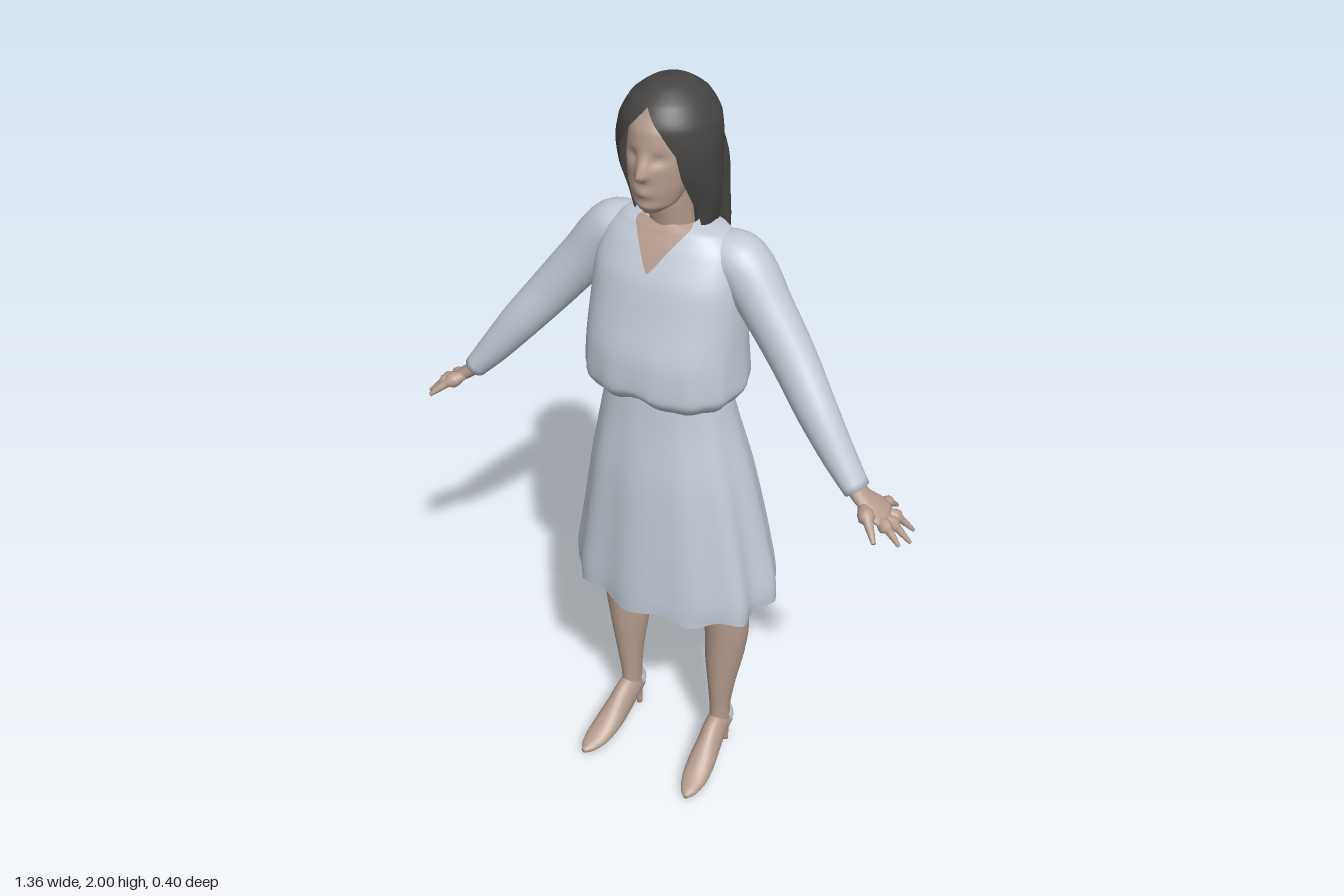
import * as THREE from 'three';
import { mergeVertices } from 'three/addons/utils/BufferGeometryUtils.js';

const paint = (name, color) => {
  const m = new THREE.MeshStandardMaterial({ color, side: THREE.DoubleSide });
  m.name = name;
  return m;
};
const bump = (d, w) => Math.exp(-(d * d) / (w * w));
const bent = (c, p) => Math.sign(c) * Math.abs(c) ** p;

// Smooth skin through cross-sections [x, y, z, radiusA, radiusB].
// flat keeps the sections level; ref is the direction of radiusB.
function loft(rows, o = {}) {
  const { segs = 24, steps = 24, flat = false, ref = [0, 0, 1], power = 1, from = 0, to = 1,
    arc = () => [0, Math.PI * 2], inflate = 0, caps = false, warp } = o;
  const path = new THREE.CatmullRomCurve3(rows.map(r => new THREE.Vector3(r[0], r[1], r[2])));
  const radii = new THREE.CatmullRomCurve3(rows.map(r => new THREE.Vector3(r[3], r[4], 0)));
  const levels = [];
  for (let i = 0; i <= steps; i++) levels.push([from + (to - from) * i / steps, 1]);
  if (caps) { levels.unshift([from, 0]); levels.push([to, 0]); }
  const pos = [], index = [];
  levels.forEach(([v, k], i) => {
    const c = path.getPoint(v), r = radii.getPoint(v);
    const t = flat ? new THREE.Vector3(0, 1, 0) : path.getTangent(v);
    const u = new THREE.Vector3(...ref).addScaledVector(t, -t.dot(new THREE.Vector3(...ref))).normalize();
    const w = new THREE.Vector3().crossVectors(t, u);
    const [a0, a1] = arc(v);
    for (let j = 0; j <= segs; j++) {
      const a = a0 + (a1 - a0) * j / segs;
      const p = c.clone()
        .addScaledVector(w, k * (r.x + inflate) * bent(Math.cos(a), power))
        .addScaledVector(u, k * (r.y + inflate) * bent(Math.sin(a), power));
      p.y += inflate;
      if (warp) warp(p, a, v);
      pos.push(p.x, p.y, p.z);
      if (i && j) {
        const d = i * (segs + 1) + j, b = d - segs - 1;
        index.push(b - 1, d - 1, b, b, d - 1, d);
      }
    }
  });
  let g = new THREE.BufferGeometry();
  g.setAttribute('position', new THREE.Float32BufferAttribute(pos, 3));
  g.setIndex(index);
  g = mergeVertices(g, 1e-5);
  g.computeVertexNormals();
  return g;
}

export function createModel() {
  const model = new THREE.Group();
  const skin = paint('skin', 0xb59c8e);
  const cloth = paint('pale dress cloth', 0xc2cad5);
  const hair = paint('dark hair', 0x474543);
  const add = (name, geometry, material) => {
    const m = new THREE.Mesh(geometry, material);
    m.name = name;
    model.add(m);
    return m;
  };

  // Skirt with folds that deepen towards the hem and the back
  add('skirt', loft([
    [.012, .61, 0, .275, .188], [.012, .65, 0, .277, .188], [.01, .8, 0, .252, .178],
    [.005, 1, .005, .213, .155], [0, 1.15, .01, .178, .125], [0, 1.235, .015, .16, .108],
  ], {
    flat: true, segs: 120, steps: 30, power: .92,
    warp: (p, a, v) => {
      const w = 1 - v, depth = w * (.4 + .6 * (1 - Math.sin(a)) / 2);
      const s = 1 + depth * (.055 * Math.cos(11 * a + .5) + .045 * Math.cos(7 * a + 2));
      p.x *= s;
      p.z *= s;
      p.y += .01 * w ** 6 * Math.cos(9 * a);
    },
  }), cloth);

  // Blouse, gathered over the waist
  const bodiceRows = [
    [0, 1.215, .015, .16, .108], [0, 1.235, .02, .182, .138], [0, 1.275, .022, .203, .16],
    [0, 1.36, .022, .198, .155], [0, 1.46, .015, .193, .133], [0, 1.55, .01, .185, .11],
    [0, 1.62, -.005, .165, .085], [0, 1.655, -.015, .13, .07], [0, 1.668, -.01, .062, .055],
  ];
  const gather = (p, a, v) => {
    const w = Math.max(0, 1 - v / .45);
    const s = 1 + .025 * w * Math.cos(13 * a + 1);
    p.x *= s;
    p.z *= s;
    if (p.z > 0) p.y += .025 * w * bump(p.x, .05);
  };
  const bodice = { flat: true, power: .86, warp: gather };
  add('bodice', loft(bodiceRows, { ...bodice, segs: 72, steps: 40 }), cloth);

  // Bare skin in the V-shaped neckline
  add('neckline', loft(bodiceRows, {
    ...bodice, segs: 12, steps: 16, from: .65, inflate: .003,
    arc: v => {
      const w = (v - .65) / .35, g = .65 * w + .6 * w ** 6;
      return [Math.PI / 2 - g, Math.PI / 2 + g];
    },
  }), skin);
  add('neck', loft([
    [0, 1.58, -.01, .055, .05], [0, 1.66, 0, .052, .05], [-.004, 1.76, .015, .052, .055],
  ], { flat: true }), skin);

  // Head with eye sockets, nose, lips and chin
  add('head', loft([
    [-.008, 1.715, .07, .022, .028], [-.008, 1.735, .058, .05, .05], [-.008, 1.78, .036, .07, .08],
    [-.008, 1.84, .02, .081, .095], [-.008, 1.9, .005, .08, .1], [-.008, 1.955, -.005, .058, .075],
  ], {
    flat: true, caps: true, segs: 64, steps: 44,
    warp: p => {
      if (p.z < .05) return;
      const x = p.x + .008, y = p.y;
      const nose = y > 1.81 ? Math.max(0, 1 - (y - 1.81) / .055) : bump(y - 1.81, .009);
      p.z += .026 * nose * bump(x, .013)
        - .01 * bump(Math.abs(x) - .032, .017) * bump(y - 1.848, .014)
        + .007 * bump(x, .022) * bump(y - 1.768, .011)
        + .006 * bump(x, .025) * bump(y - 1.733, .014);
    },
  }), skin);

  // Hair: a cap open around the face, and the long fall behind
  const gaps = [62, 48, 40, 36, 20, 0, 0, 0];
  add('hairCap', loft([
    [-.01, 1.65, -.04, .1, .08], [-.01, 1.72, -.03, .112, .09], [-.012, 1.8, -.015, .12, .112],
    [-.012, 1.86, -.01, .122, .119], [-.01, 1.915, -.01, .112, .12], [-.01, 1.96, -.01, .086, .097],
    [-.01, 1.99, -.01, .045, .052], [-.01, 2, -.01, .002, .002],
  ], {
    flat: true, segs: 56, steps: 42,
    arc: v => {
      const f = v * 7, i = Math.min(6, Math.floor(f));
      const g = THREE.MathUtils.degToRad(THREE.MathUtils.lerp(gaps[i], gaps[i + 1], f - i));
      return [Math.PI / 2 + g, Math.PI * 2.5 - g];
    },
    warp: (p, a, v) => { p.y += .012 * Math.max(0, 1 - v * 5) * Math.cos(9 * a); },
  }), hair);
  add('hairFall', loft([
    [0, 1.54, -.107, .078, .018], [0, 1.62, -.1, .095, .028], [-.008, 1.72, -.085, .107, .041],
    [-.01, 1.82, -.065, .11, .062], [-.01, 1.92, -.04, .085, .07],
  ], {
    flat: true, caps: true, segs: 40, power: .9,
    warp: (p, a, v) => { p.z += .004 * (1 - v) * Math.cos(p.x * 160); },
  }), hair);

  for (const s of [1, -1]) {
    const side = s > 0 ? 'left' : 'right';
    // The right arm reaches a little further forward
    const arm = rows => rows.map(([x, y, z, a, b]) =>
      [s * x, y, z + (s < 0 ? .08 * Math.max(0, x - .25) : 0), a, b]);

    add(side + 'Sleeve', loft(arm([
      [.1, 1.615, -.02, .04, .055], [.17, 1.583, -.022, .068, .07], [.25, 1.49, -.008, .062, .06],
      [.33, 1.39, .01, .057, .053], [.41, 1.29, .038, .05, .047], [.48, 1.2, .055, .04, .041],
      [.535, 1.133, .065, .03, .036],
    ]), { caps: true, segs: 28, steps: 30 }), cloth);

    // Hand with spread fingers
    add(side + 'Palm', loft(arm([
      [.52, 1.148, .063, .022, .026], [.55, 1.118, .065, .018, .03],
      [.585, 1.092, .06, .015, .044], [.612, 1.074, .052, .01, .042],
    ]), { caps: true, segs: 16, steps: 10 }), skin);
    [
      ['Thumb', [.56, 1.108, .085], [.622, 1.065, .15], .012],
      ['IndexFinger', [.6, 1.082, .08], [.663, 1.036, .095], .01],
      ['MiddleFinger', [.605, 1.078, .06], [.675, 1.024, .055], .01],
      ['RingFinger', [.602, 1.078, .038], [.662, 1.022, .005], .0095],
      ['LittleFinger', [.585, 1.086, .025], [.6, 1.045, -.036], .009],
    ].forEach(([name, a, b, r]) => {
      const mid = a.map((n, i) => (n + b[i]) / 2);
      mid[1] += .005;
      add(side + name, loft(arm([[...a, r, r], [...mid, r, r], [...b, r * .45, r * .45]]),
        { caps: true, segs: 10, steps: 8, ref: [0, 1, 0] }), skin);
    });

    // Leg
    const flip = rows => rows.map(r => [s * r[0], ...r.slice(1)]);
    add(side + 'Leg', loft(flip([
      [.145, .1, -.022, .027, .036], [.145, .16, -.02, .027, .035], [.148, .25, -.02, .035, .044],
      [.152, .36, -.026, .051, .06], [.157, .45, -.025, .058, .064], [.157, .53, -.02, .059, .066],
      [.15, .62, -.018, .06, .069], [.125, .88, 0, .075, .08],
    ]), { flat: true, segs: 28, steps: 32 }), skin);

    // High-heeled shoe, its pale heel strap and its heel
    const shoeRows = flip([
      [.145, .112, -.07, .012, .027], [.145, .108, -.045, .028, .04], [.145, .1, 0, .031, .05],
      [.149, .07, .05, .034, .045], [.154, .045, .1, .038, .033], [.16, .027, .15, .035, .022],
      [.165, .02, .19, .022, .014], [.168, .018, .21, .007, .007],
    ]);
    add(side + 'Shoe', loft(shoeRows, { ref: [0, 1, 0], caps: true, segs: 24, steps: 28 }), skin);
    add(side + 'HeelStrap', loft(shoeRows, {
      ref: [0, 1, 0], segs: 16, steps: 8, from: .02, to: .2, inflate: .003, arc: () => [.1, Math.PI - .1],
    }), cloth);
    add(side + 'Heel', loft(flip([
      [.145, 0, -.058, .008, .009], [.145, .04, -.055, .009, .011], [.145, .1, -.048, .02, .024],
    ]), { flat: true, caps: true, segs: 14, steps: 8 }), skin);
  }
  return model;
}
